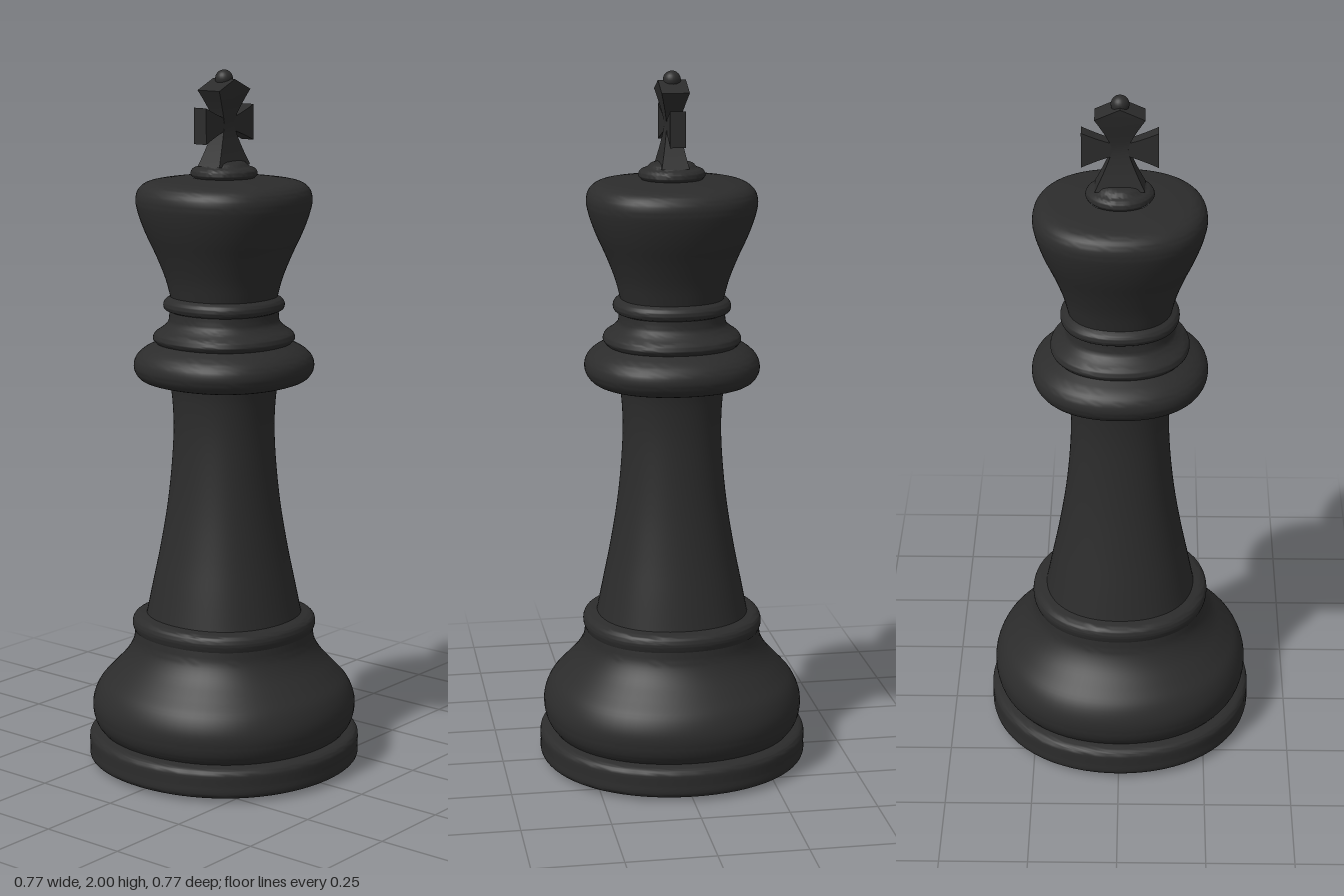
import * as THREE from 'three';
import { toCreasedNormals } from 'three/addons/utils/BufferGeometryUtils.js';

// Turned sections from the floor up: [radius, height] points, and how far the round is squared off.
const SECTIONS = {
  basePlinth: { square: 0.015, points: [[0, 0], [0.3, 0.002], [0.372, 0.01], [0.385, 0.02], [0.386, 0.05], [0.385, 0.084], [0.375, 0.094], [0.35, 0.1]] },
  baseBell: { square: 0.02, points: [[0.35, 0.1], [0.364, 0.12], [0.373, 0.15], [0.373, 0.19], [0.355, 0.235], [0.32, 0.275], [0.28, 0.32], [0.258, 0.36], [0.252, 0.395]] },
  baseRing: { square: 0.03, points: [[0.252, 0.395], [0.257, 0.41], [0.256, 0.425], [0.248, 0.437], [0.217, 0.445]] },
  column: { square: 0.03, points: [[0.217, 0.445], [0.2, 0.53], [0.178, 0.64], [0.157, 0.77], [0.144, 0.9], [0.14, 1.0], [0.144, 1.08], [0.15, 1.12]] },
  collar: { square: 0.035, points: [[0.15, 1.12], [0.195, 1.121], [0.23, 1.133], [0.247, 1.16], [0.244, 1.19], [0.225, 1.213], [0.186, 1.235]] },
  collarRing: { square: 0.035, points: [[0.186, 1.235], [0.195, 1.247], [0.19, 1.262], [0.17, 1.277], [0.153, 1.295], [0.149, 1.325]] },
  neckRing: { square: 0.035, points: [[0.149, 1.325], [0.163, 1.332], [0.166, 1.346], [0.16, 1.358], [0.146, 1.367]] },
  head: { square: 0.04, points: [[0.146, 1.367], [0.16, 1.42], [0.185, 1.485], [0.214, 1.55], [0.233, 1.605], [0.239, 1.64], [0.232, 1.668], [0.212, 1.686], [0.17, 1.695], [0.085, 1.702]] },
  finialBase: { square: 0, points: [[0.085, 1.7], [0.094, 1.712], [0.088, 1.726], [0.07, 1.734], [0.058, 1.745], [0, 1.752]] },
};

function turnedSection({ points, square }) {
  const curve = new THREE.CatmullRomCurve3(points.map(([r, y]) => new THREE.Vector3(r, y, 0)));
  const profile = curve.getPoints((points.length - 1) * 4).map(p => new THREE.Vector2(Math.max(0, p.x), p.y));
  const geometry = new THREE.LatheGeometry(profile, 72);
  const pos = geometry.attributes.position;
  // swell the diagonals a little
  for (let i = 0; i < pos.count; i++) {
    const x = pos.getX(i), z = pos.getZ(i);
    const k = 1 + square * (1 - Math.cos(4 * Math.atan2(z, x))) / 2;
    pos.setX(i, x * k);
    pos.setZ(i, z * k);
  }
  return toCreasedNormals(geometry, 0.9);
}

// Upright of the cross: a box pinched at its waist, with a ridged top
function crossUpright() {
  const bottom = 1.735, top = 1.945, waist = 1.852;
  const geometry = new THREE.BoxGeometry(2, 1, 2, 2, 12, 1);
  const pos = geometry.attributes.position;
  for (let i = 0; i < pos.count; i++) {
    const x = pos.getX(i), t = pos.getY(i) + 0.5, z = pos.getZ(i);
    const y = bottom + t * (top - bottom);
    const flare = Math.abs(y - waist) / (y > waist ? top - waist : waist - bottom);
    const ridge = x === 0 && t > 0.99 ? 0.03 : 0;
    pos.setXYZ(i, x * (0.02 + 0.048 * Math.pow(flare, 1.2)), y + ridge, z * (0.018 + 0.021 * Math.pow(flare, 1.3)));
  }
  return toCreasedNormals(geometry, 0.5);
}

// Side arm of the cross: a box that flares outward
function crossArm(side) {
  const geometry = new THREE.BoxGeometry(1, 2, 2, 6, 1, 1);
  const pos = geometry.attributes.position;
  for (let i = 0; i < pos.count; i++) {
    const t = side * pos.getX(i) + 0.5;
    pos.setXYZ(i, side * t * 0.104, 1.85 + pos.getY(i) * (0.014 + 0.036 * Math.pow(t, 1.3)), pos.getZ(i) * (0.017 + 0.005 * t));
  }
  return toCreasedNormals(geometry, 0.5);
}

export function createModel() {
  const model = new THREE.Group();
  model.name = 'chessKing';
  const black = new THREE.MeshStandardMaterial({ color: 0x2c2c2c });
  black.name = 'black';

  const add = (name, geometry) => {
    const mesh = new THREE.Mesh(geometry, black);
    mesh.name = name;
    model.add(mesh);
    return mesh;
  };

  // turned body
  for (const [name, section] of Object.entries(SECTIONS)) add(name, turnedSection(section));

  // cross finial
  add('crossUpright', crossUpright());
  add('crossArmLeft', crossArm(1));
  add('crossArmRight', crossArm(-1));
  add('crossBall', new THREE.SphereGeometry(0.025, 24, 16)).position.y = 1.975;

  return model;
}
